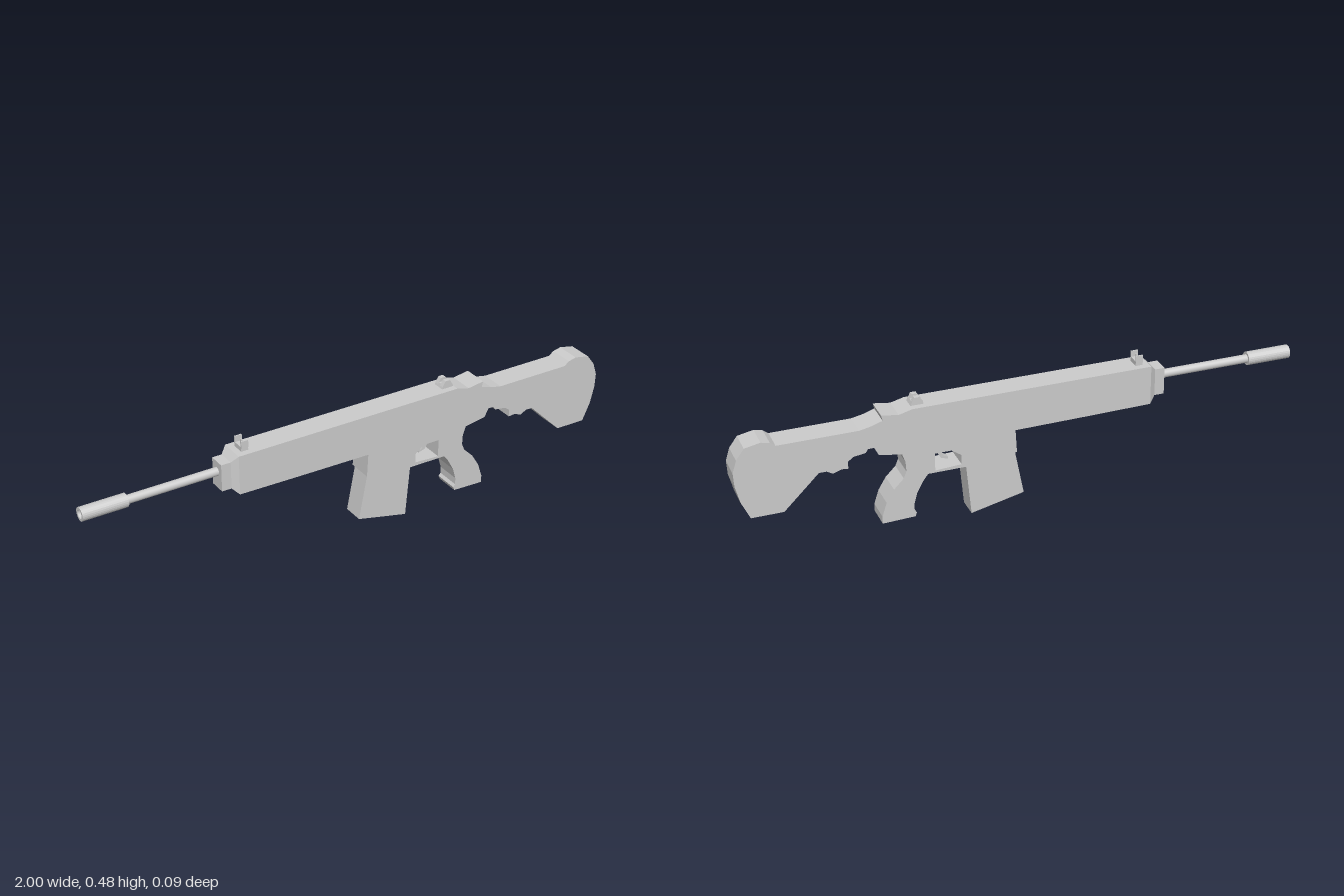
import * as THREE from 'three';

const mat = new THREE.MeshStandardMaterial({ color: 0xcccccc, flatShading: true });
const smooth = new THREE.MeshStandardMaterial({ color: 0xcccccc });

export function createModel() {
  const group = new THREE.Group();
  const add = (name, geo, material = mat) => {
    const mesh = new THREE.Mesh(geo, material);
    mesh.name = name;
    group.add(mesh);
    return mesh;
  };
  const points = (list) => list.map(([x, y]) => new THREE.Vector2(x, y));

  // Side profile extruded symmetrically about z = 0
  const plate = (name, outline, width, holes = []) => {
    const shape = new THREE.Shape(points(outline));
    for (const h of holes) shape.holes.push(new THREE.Path(points(h)));
    const geo = new THREE.ExtrudeGeometry(shape, { depth: width, bevelEnabled: false });
    return add(name, geo.translate(0, 0, -width / 2));
  };
  const box = (name, x0, x1, y0, y1, z0, z1) =>
    add(name, new THREE.BoxGeometry(x1 - x0, y1 - y0, z1 - z0)
      .translate((x0 + x1) / 2, (y0 + y1) / 2, (z0 + z1) / 2));

  // Receiver, grip and stock in one outline, with the trigger opening
  plate('body', [
    [-0.457, 0.442], [-0.457, 0.3], [-0.25, 0.297], [0.035, 0.294], [0.03, 0.21],
    [0.206, 0.19], [0.345, 0.19], [0.362, 0.168], [0.385, 0.125], [0.396, 0.085],
    [0.396, 0.06], [0.388, 0.05], [0.393, 0.037], [0.508, 0.033], [0.508, 0.06],
    [0.492, 0.11], [0.465, 0.155], [0.43, 0.19], [0.42, 0.215], [0.422, 0.25],
    [0.433, 0.282], [0.512, 0.295], [0.527, 0.325], [0.548, 0.325], [0.556, 0.312],
    [0.598, 0.306], [0.617, 0.292], [0.617, 0.266], [0.64, 0.268], [0.67, 0.258],
    [0.69, 0.27], [0.716, 0.27], [0.838, 0.15], [0.949, 0.15], [0.978, 0.212],
    [0.994, 0.275], [0.997, 0.325], [0.983, 0.37], [0.955, 0.408], [0.9, 0.419],
    [0.87, 0.412], [0.852, 0.398], [0.575, 0.398], [0.535, 0.406], [0.495, 0.419],
    [0.5, 0.439], [0.44, 0.43], [0.393, 0.442],
  ], 0.091, [[
    [0.227, 0.203], [0.227, 0.238], [0.262, 0.262], [0.32, 0.262], [0.32, 0.198],
  ]]);

  plate('trigger', [
    [0.275, 0.27], [0.3, 0.27], [0.3, 0.242], [0.287, 0.22], [0.262, 0.213],
    [0.262, 0.22], [0.278, 0.228], [0.285, 0.242],
  ], 0.02);

  plate('magazine', [[0.036, 0.215], [0.003, 0.045], [0.192, 0.002], [0.21, 0.195]], 0.077);

  // Handguard nose: a box tapering towards the muzzle, then a small square cap
  const nose = new THREE.BoxGeometry(0.022, 1, 1);
  const p = nose.attributes.position;
  for (let i = 0; i < p.count; i++) {
    const small = p.getX(i) < 0;
    p.setY(i, p.getY(i) > 0 ? (small ? 0.42 : 0.442) : (small ? 0.322 : 0.3));
    p.setZ(i, Math.sign(p.getZ(i)) * (small ? 0.03 : 0.0455));
  }
  nose.translate(-0.468, 0, 0);
  nose.computeVertexNormals();
  add('handguardTaper', nose);
  box('handguardCap', -0.514, -0.478, 0.322, 0.42, -0.03, 0.03);

  // Barrel and hollow muzzle tube
  const axisY = 0.383;
  add('barrel', new THREE.CylinderGeometry(0.015, 0.015, 0.35, 24)
    .rotateZ(Math.PI / 2).translate(-0.675, axisY, 0), smooth);
  const muzzle = new THREE.LatheGeometry(points([
    [0, 0.06], [0.015, 0.06], [0.015, 0], [0.024, 0], [0.024, 0.16], [0.015, 0.16],
  ]).reverse(), 24);
  const muzzleMat = new THREE.MeshStandardMaterial({
    color: 0xcccccc, flatShading: true, side: THREE.DoubleSide,
  });
  add('muzzleTube', muzzle.rotateZ(-Math.PI / 2).translate(-1, axisY, 0), muzzleMat);

  // Front sight: base, ears bent outward and centre post
  box('frontSightBase', -0.435, -0.409, 0.44, 0.458, -0.022, 0.022);
  box('frontSightPost', -0.425, -0.419, 0.455, 0.475, -0.003, 0.003);
  for (const s of [-1, 1]) {
    const ear = box('frontSightEar', -0.435, -0.409, 0.452, 0.479, s * 0.021 - 0.0025, s * 0.021 + 0.0025);
    ear.name = s > 0 ? 'frontSightEarFront' : 'frontSightEarBack';
  }

  // Rear sight: sloped block with a notch along its length
  plate('rearSightBase', [[0.345, 0.44], [0.393, 0.44], [0.386, 0.455], [0.352, 0.455]], 0.044);
  for (const s of [-1, 1]) {
    plate('rearSightSide', [
      [0.348, 0.45], [0.388, 0.45], [0.378, 0.469], [0.36, 0.469],
    ], 0.016).position.z = s * 0.014;
  }
  return group;
}
